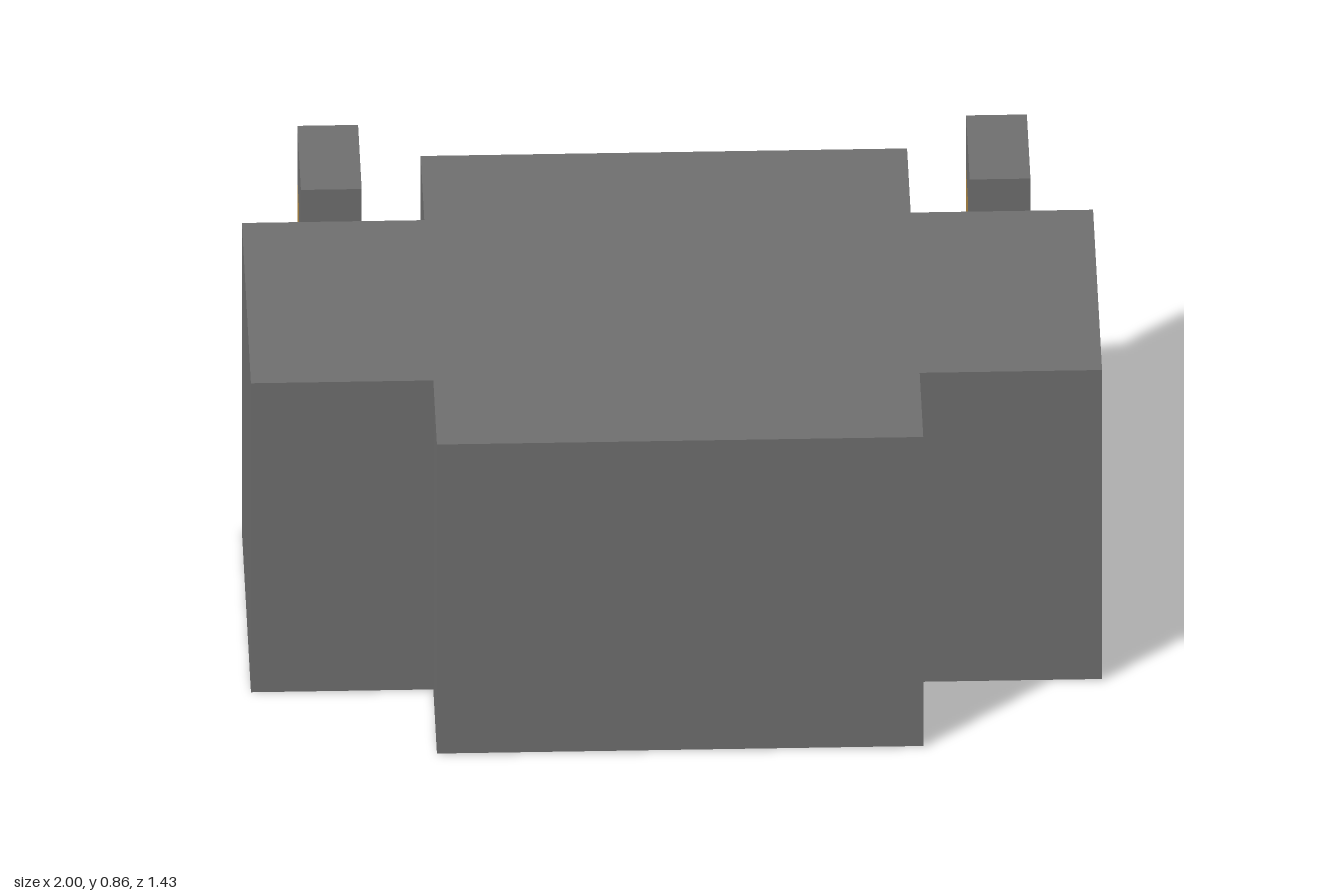
import * as THREE from 'three';

const U = 1 / 7; // one block
const SKIN = 0.003; // thickness of inlaid plates

const mat = (name, hex) => {
  const m = new THREE.MeshStandardMaterial({ color: hex });
  m.name = name;
  return m;
};

export function createModel() {
  const stone = mat('stone grey', 0x707070);
  const brick = mat('brick red', 0x985f4a);
  const planks = mat('dark planks', 0x7e5c50);
  const amber = mat('lamp amber', 0xaf8844);

  const model = new THREE.Group();
  model.name = 'blockHouse';

  // box from min and max corners, given in blocks
  const box = (parent, name, material, [x0, y0, z0], [x1, y1, z1]) => {
    const g = new THREE.BoxGeometry((x1 - x0) * U, (y1 - y0) * U, (z1 - z0) * U);
    const mesh = new THREE.Mesh(g, material);
    mesh.position.set((x0 + x1) / 2 * U, (y0 + y1) / 2 * U, (z0 + z1) / 2 * U);
    mesh.name = name;
    parent.add(mesh);
  };

  // cross-shaped building: half outline in x, z, mirrored
  const half = [[4, -4], [4, -2], [7, -2], [7, 3], [4, 3], [4, 5]];
  const outline = [...half, ...half.map(([x, z]) => [-x, z]).reverse()];
  const shape = new THREE.Shape(outline.map(([x, z]) => new THREE.Vector2(x * U, z * U)));
  const wallsGeo = new THREE.ExtrudeGeometry(shape, { depth: 6 * U - SKIN, bevelEnabled: false });
  wallsGeo.rotateX(Math.PI / 2).translate(0, 6 * U, 0);
  const walls = new THREE.Mesh(wallsGeo, stone);
  walls.name = 'walls';
  model.add(walls);

  // underside: middle strip and planks on both sides, leaving stone gaps
  const s = SKIN / U;
  box(model, 'floorStrip', brick, [-1, 0, -4], [1, s, 4]);
  const floor = new THREE.Group();
  floor.name = 'floor';
  model.add(floor);
  const plates = [ // x0, z0, x1, z1
    [1, -3, 3, -1], [2, -1, 6, 0], [1, 0, 2, 1],
    [3, 0, 6, 1], [1, 1, 6, 2], [1, 2, 3, 4],
  ];
  for (const [x0, z0, x1, z1] of plates) {
    box(floor, 'floorPlate', planks, [x0, 0, z0], [x1, s, z1]);
    box(floor, 'floorPlate', planks, [-x1, 0, z0], [-x0, s, z1]);
  }

  // doorway on the back wall
  box(model, 'doorway', brick, [-1, 0, -4 - s], [1, 3, -4]);

  // step with a raised block
  box(model, 'stepLong', stone, [0, 0, -5], [2, 1, -4]);
  box(model, 'stepRaised', stone, [-1, 0, -5], [0, 2, -4]);
  box(model, 'stepShort', stone, [-2, 0, -5], [-1, 1, -4]);

  // lamp posts at the back corners
  for (const [name, x] of [['leftLampPost', 5], ['rightLampPost', -6]]) {
    const post = new THREE.Group();
    post.name = name;
    box(post, 'column', stone, [x, 0, -4], [x + 1, 5, -3]);
    box(post, 'arm', stone, [x, 5, -5], [x + 1, 6, -3]);
    box(post, 'lamp', amber, [x, 4, -5], [x + 1, 5, -4]);
    model.add(post);
  }

  return model;
}
